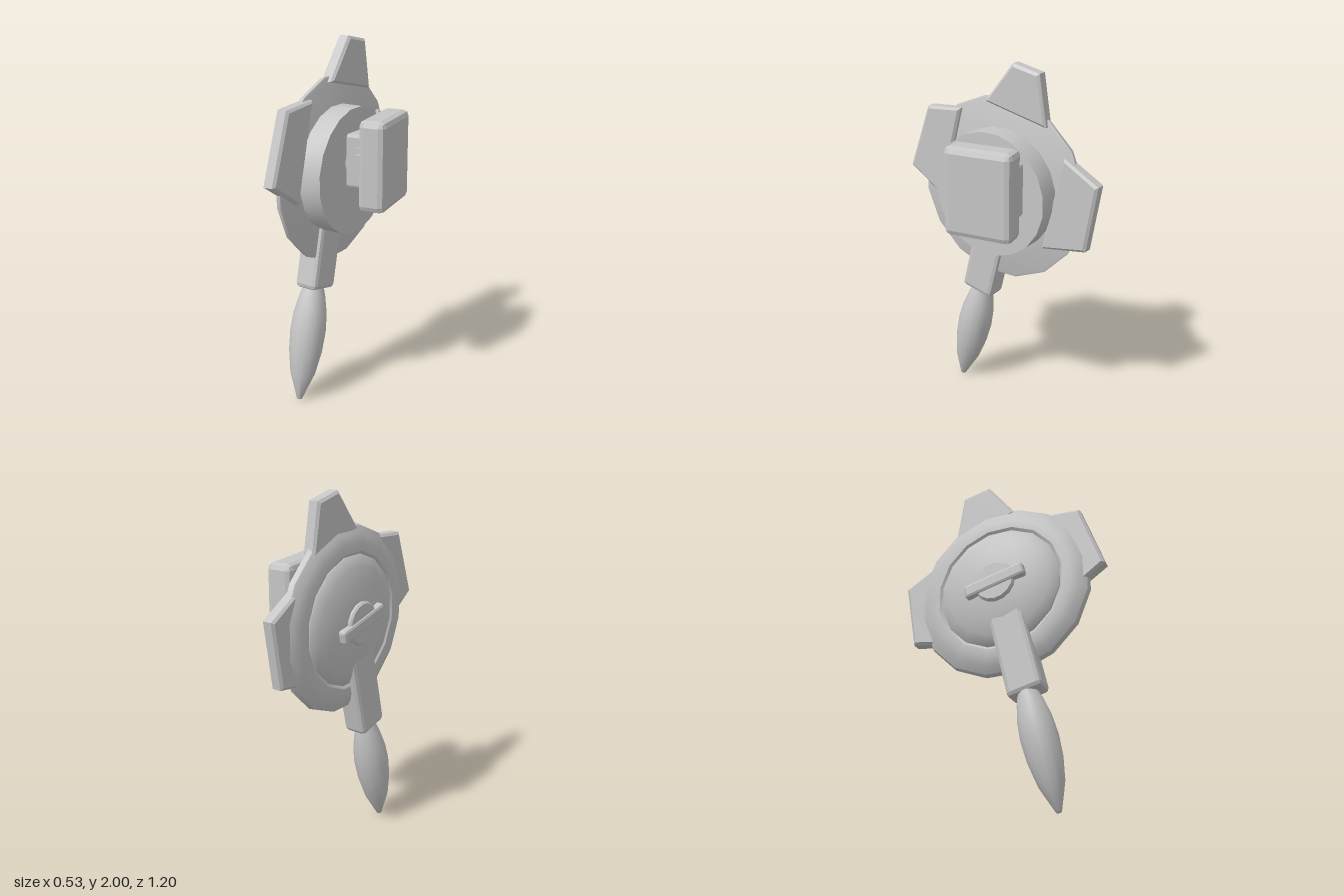
import * as THREE from 'three';
import { toCreasedNormals } from 'three/addons/utils/BufferGeometryUtils.js';
import { RoundedBoxGeometry } from 'three/addons/geometries/RoundedBoxGeometry.js';

export function createModel() {
  const root = new THREE.Group();
  root.name = 'wingedShield';
  const grey = new THREE.MeshStandardMaterial({ color: 0xc6c6c6 });
  grey.name = 'lightGrey';

  function add(parent, name, geometry, x = 0, y = 0, z = 0) {
    const mesh = new THREE.Mesh(geometry, grey);
    mesh.name = name;
    mesh.position.set(x, y, z);
    parent.add(mesh);
    return mesh;
  }
  function chamferBox(w, h, d, r) {
    const g = new RoundedBoxGeometry(w, h, d, 1, r);
    g.computeVertexNormals();
    return g;
  }
  // Lathe whose axis is turned onto x; points are [radius, x]
  function turned(points, sides) {
    const g = new THREE.LatheGeometry(points.map(([r, a]) => new THREE.Vector2(r, a)), sides, Math.PI / sides);
    g.rotateZ(-Math.PI / 2);
    return toCreasedNormals(g, 0.6);
  }

  // Shield, turned slightly about the vertical
  const shield = new THREE.Group();
  shield.name = 'shield';
  shield.rotation.y = -0.161;
  root.add(shield);
  const cy = 1.3, cz = 0.02;

  add(shield, 'disc', turned([
    [0, -0.207], [0.12, -0.204], [0.22, -0.19], [0.3, -0.17], [0.355, -0.145],
    [0.36, -0.138], [0.375, -0.148], [0.42, -0.147], [0.47, -0.132], [0.508, -0.108],
    [0.516, -0.08], [0.505, -0.075], [0, -0.075],
  ], 16), 0, cy, cz);
  add(shield, 'drum', turned([[0, -0.08], [0.347, -0.08], [0.347, 0.049], [0, 0.049]], 20), 0, cy, cz);

  // Three bevelled wings, outlined as [z, y]
  const wings = {
    frontWing: [[0.49, 1.70], [0.27, 1.715], [0.405, 1.19], [0.62, 1.335]],
    topWing: [[-0.065, 2.0], [-0.225, 1.965], [-0.27, 1.69], [0.105, 1.78]],
    rearWing: [[-0.38, 1.55], [-0.585, 1.43], [-0.525, 1.06], [-0.26, 1.02]],
  };
  for (const [name, pts] of Object.entries(wings)) {
    const shape = new THREE.Shape(pts.map(([z, y]) => new THREE.Vector2(-z, y)));
    const g = new THREE.ExtrudeGeometry(shape, {
      depth: 0.05, bevelThickness: 0.012, bevelSize: 0.015, bevelOffset: -0.015, bevelSegments: 1,
    });
    g.rotateY(Math.PI / 2);
    add(shield, name, g, -0.108, 0, 0);
  }

  // Parts aligned with the slanting handle
  const slant = new THREE.Group();
  slant.name = 'handleAssembly';
  slant.position.set(0, cy, cz);
  slant.rotation.x = -0.237;
  shield.add(slant);

  add(slant, 'backHub', turned([[0, -0.225], [0.11, -0.225], [0.12, -0.215], [0.12, -0.18], [0, -0.18]], 16));
  add(slant, 'hubBar', chamferBox(0.06, 0.08, 0.36, 0.016), -0.205, 0, 0);
  add(slant, 'handleArm', chamferBox(0.137, 0.54, 0.2, 0.025), -0.122, -0.41, 0);

  const grip = [[0, -1.337], [0.015, -1.33], [0.07, -1.18], [0.093, -1.05], [0.1, -0.93],
    [0.093, -0.83], [0.073, -0.73], [0.055, -0.67], [0, -0.66]];
  const gripGeo = new THREE.LatheGeometry(grip.map(([r, y]) => new THREE.Vector2(r, y)), 14);
  add(slant, 'handleGrip', toCreasedNormals(gripGeo, 0.8), -0.13, 0, 0);

  // Square mount on the front of the drum
  add(root, 'mountStem', chamferBox(0.15, 0.29, 0.31, 0.015), 0.055, 1.375, -0.035);
  for (const [name, r, end] of [['mountPivot', 0.09, 0.14], ['pivotPin', 0.06, 0.175]]) {
    const g = new THREE.CylinderGeometry(r, r, 0.3, 16);
    g.rotateX(Math.PI / 2);
    add(root, name, g, 0.12, 1.37, end - 0.15);
  }
  add(root, 'mountBlock', chamferBox(0.15, 0.49, 0.385, 0.034), 0.19, 1.367, -0.008);

  return root;
}
